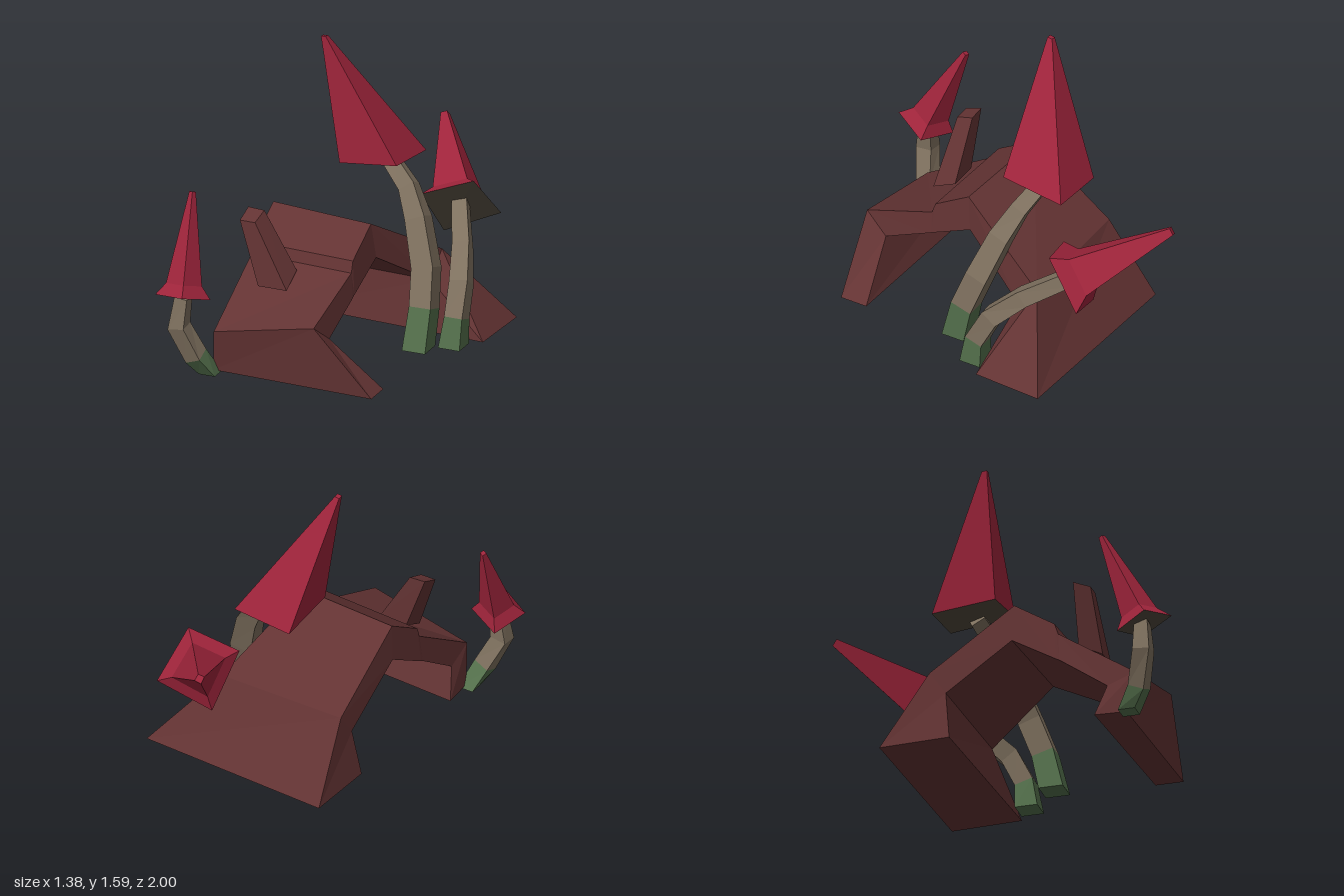
import * as THREE from 'three';

const mat = (name, color, side = THREE.FrontSide) => {
  const m = new THREE.MeshStandardMaterial({ color, side, flatShading: true });
  m.name = name;
  return m;
};
const V = (p) => new THREE.Vector3(...p);
const centre = (ring) =>
  ring.reduce((s, p) => s.add(p), new THREE.Vector3()).divideScalar(ring.length);

// Faceted skin through a list of equal-sized rings, always wound outwards
function loft(rings, capStart = true, capEnd = true) {
  const tris = [];
  const n = rings[0].length;
  for (let i = 0; i < rings.length - 1; i++) {
    for (let j = 0; j < n; j++) {
      const k = (j + 1) % n;
      const [a, b, c, d] = [rings[i][j], rings[i][k], rings[i + 1][k], rings[i + 1][j]];
      tris.push([a, b, c], [a, c, d]);
    }
  }
  const last = rings[rings.length - 1];
  for (let j = 1; j < n - 1; j++) {
    if (capStart) tris.push([rings[0][0], rings[0][j + 1], rings[0][j]]);
    if (capEnd) tris.push([last[0], last[j], last[j + 1]]);
  }
  const o = centre(rings[0]);
  let volume = 0;
  for (const [a, b, c] of tris) {
    volume += a.clone().sub(o).dot(b.clone().sub(o).cross(c.clone().sub(o)));
  }
  const pts = tris.flatMap(([a, b, c]) => (volume < 0 ? [a, c, b] : [a, b, c]));
  const g = new THREE.BufferGeometry().setFromPoints(pts);
  g.computeVertexNormals();
  return g;
}

function part(name, geometry, material) {
  const m = new THREE.Mesh(geometry, material);
  m.name = name;
  return m;
}

// Square rings set across a bent path; each point is [x, y, z, width]
function stemRings(path) {
  const pts = path.map(V3 => V(V3.slice(0, 3)));
  return pts.map((p, i) => {
    const t = pts[Math.min(i + 1, pts.length - 1)].clone().sub(pts[Math.max(i - 1, 0)]);
    if (i === 0) t.set(0, 1, 0);
    t.normalize();
    const u = new THREE.Vector3(1, 0, 0).addScaledVector(t, -t.x).normalize();
    const v = t.clone().cross(u);
    const h = path[i][3] / 2;
    return [[-h, -h], [h, -h], [h, h], [-h, h]].map(([a, b]) =>
      p.clone().addScaledVector(u, a).addScaledVector(v, b));
  });
}

export function createModel() {
  const wood = mat('dark red wood', 0x633333);
  const crimson = mat('crimson cap', 0x9f243b);
  const stalk = mat('pale brown stalk', 0x7e705e);
  const moss = mat('moss green', 0x54704c);
  const gill = mat('dark gill', 0x50483c, THREE.DoubleSide);
  const model = new THREE.Group();
  model.name = 'mushroomArch';

  // Arched trunk: outer left, outer right, inner right, inner left
  const trunk = [
    [[-0.44, 0.03, 0.74], [0.46, 0.03, 0.77], [0.46, 0.03, 0.62], [-0.45, 0.03, 0.57]],
    [[-0.42, 0.26, 0.78], [0.15, 0.38, 0.80], [0.18, 0.28, 0.67], [-0.42, 0.20, 0.63]],
    [[-0.395, 0.54, 0.36], [0.18, 0.54, 0.395], [0.195, 0.41, 0.41], [-0.41, 0.385, 0.37]],
    [[-0.395, 0.60, 0.34], [0.18, 0.60, 0.375], [0.195, 0.42, 0.39], [-0.41, 0.395, 0.35]],
    [[-0.38, 0.74, 0.12], [0.19, 0.73, 0.17], [0.21, 0.54, 0.15], [-0.39, 0.54, 0.11]],
    [[-0.36, 0.43, -0.34], [0.36, 0.43, -0.34], [0.35, 0.30, -0.22], [-0.37, 0.30, -0.25]],
    [[-0.39, 0.03, -0.60], [0.69, 0.03, -0.54], [0.67, 0.03, -0.16], [-0.41, 0.03, -0.22]],
  ].map((r) => r.map(V));
  model.add(part('archedTrunk', loft(trunk), wood));

  // Broken branch leaning out of the trunk
  const branch = [
    [[-0.27, 0.455, 0.56], [-0.11, 0.455, 0.56], [-0.11, 0.52, 0.43], [-0.27, 0.52, 0.43]],
    [[-0.385, 0.79, 0.53], [-0.30, 0.79, 0.53], [-0.29, 0.825, 0.435], [-0.38, 0.83, 0.435]],
  ].map((r) => r.map(V));
  model.add(part('branchStub', loft(branch), wood));

  // Mushrooms: stem path, four cap corners, tip, and whether the brim flares
  const mushrooms = [
    {
      name: 'tallMushroom', flare: false, tip: [-0.19, 1.61, -0.095],
      path: [[0.42, 0.05, 0.09, 0.13], [0.43, 0.26, 0.04, 0.12], [0.41, 0.45, -0.03, 0.12],
        [0.33, 0.68, -0.11, 0.11], [0.25, 0.82, -0.17, 0.09], [0.12, 0.93, -0.23, 0.08]],
      rim: [[-0.095, 0.93, -0.07], [0.23, 0.97, -0.06], [0.24, 0.93, -0.41], [-0.09, 0.895, -0.41]],
    },
    {
      name: 'leaningMushroom', flare: true, tip: [0.09, 0.89, -0.985],
      path: [[0.54, 0.02, -0.08, 0.12], [0.55, 0.17, -0.10, 0.10], [0.54, 0.33, -0.18, 0.10],
        [0.48, 0.47, -0.33, 0.09], [0.37, 0.61, -0.55, 0.08]],
      rim: [[0.475, 0.77, -0.48], [0.54, 0.53, -0.68], [0.25, 0.41, -0.61], [0.21, 0.68, -0.41]],
    },
    {
      name: 'smallMushroom', flare: true, tip: [-0.595, 0.96, 0.655],
      path: [[-0.45, 0.02, 0.755, 0.09], [-0.50, 0.13, 0.825, 0.09], [-0.575, 0.30, 0.87, 0.09],
        [-0.555, 0.46, 0.86, 0.07]],
      rim: [[-0.69, 0.47, 0.91], [-0.50, 0.51, 1.0], [-0.42, 0.45, 0.82], [-0.61, 0.41, 0.74]],
    },
  ];
  for (const { name, flare, tip, path, rim } of mushrooms) {
    const group = new THREE.Group();
    group.name = name;
    const stem = stemRings(path);
    group.add(part('mossyFoot', loft(stem.slice(0, 2), true, false), moss));
    group.add(part('stalk', loft(stem.slice(1), false, true), stalk));

    const base = rim.map(V);
    const mid = centre(base);
    const axis = V(tip).sub(mid);
    const shrunk = (scale, along) => base.map((p) =>
      p.clone().sub(mid).multiplyScalar(scale).add(mid).addScaledVector(axis, along));
    const rings = [base, shrunk(flare ? 0.12 : 0.08, 1)];
    if (flare) rings.splice(1, 0, shrunk(0.65, 0.12));
    group.add(part('cap', loft(rings, false, true), crimson));

    // Flat underside of the cap
    const [a, b, c, d] = base;
    const under = new THREE.BufferGeometry().setFromPoints([a, b, c, a, c, d]);
    under.computeVertexNormals();
    group.add(part('capUnderside', under, gill));
    model.add(group);
  }
  return model;
}
